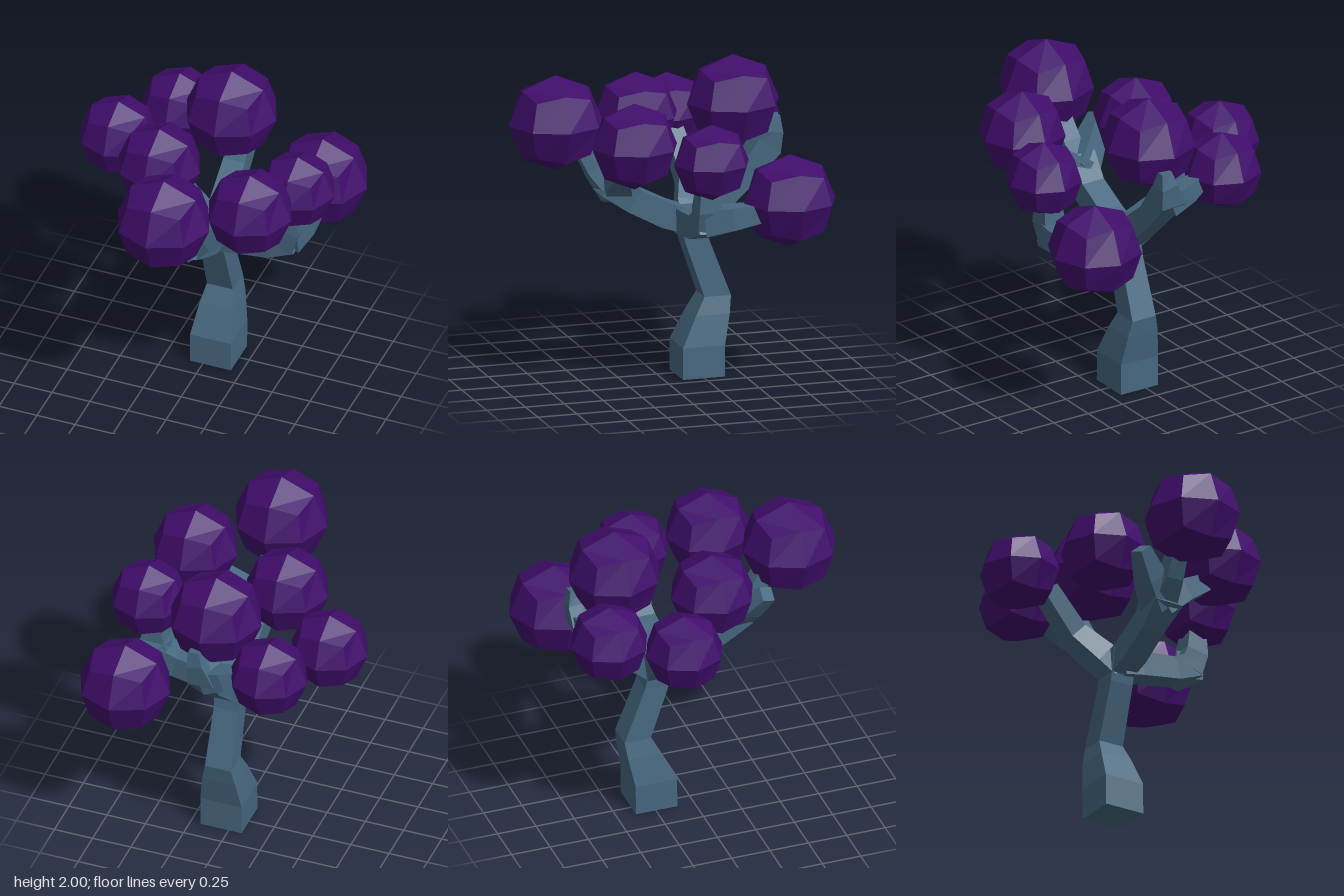
import * as THREE from 'three';

const bark = new THREE.MeshStandardMaterial({ color: 0x46677f });
bark.name = 'blueGreyBark';
const leaf = new THREE.MeshStandardMaterial({ color: 0x400d6b });
leaf.name = 'deepPurpleLeaf';

// Square-section limb through [x, y, z, halfWidth] points.
// hint is the direction one pair of sides faces; level keeps the rings horizontal.
function limb(name, points, hint, level = false) {
  const centres = points.map(p => new THREE.Vector3(p[0], p[1], p[2]));
  const rings = centres.map((c, i) => {
    const t = level
      ? new THREE.Vector3(0, 1, 0)
      : centres[Math.min(i + 1, centres.length - 1)].clone()
        .sub(centres[Math.max(i - 1, 0)]).normalize();
    const a = new THREE.Vector3(...hint);
    a.addScaledVector(t, -a.dot(t)).normalize();
    const b = t.clone().cross(a);
    return [[1, 1], [-1, 1], [-1, -1], [1, -1]].map(([u, v]) =>
      c.clone().addScaledVector(a, u * points[i][3]).addScaledVector(b, v * points[i][3]));
  });
  const tris = [];
  const quad = (p, q, r, s) => tris.push(p, q, r, p, r, s);
  for (let k = 0; k + 1 < rings.length; k++) {
    for (let i = 0; i < 4; i++) {
      const j = (i + 1) % 4;
      quad(rings[k][i], rings[k][j], rings[k + 1][j], rings[k + 1][i]);
    }
  }
  quad(...rings[0].slice().reverse());
  quad(...rings[rings.length - 1]);
  const geometry = new THREE.BufferGeometry().setFromPoints(tris);
  geometry.computeVertexNormals();
  const mesh = new THREE.Mesh(geometry, bark);
  mesh.name = name;
  return mesh;
}

// Cube with 2 x 2 faces per side, pushed out to a unit sphere, faceted.
function leafBallGeometry() {
  const geometry = new THREE.BoxGeometry(2, 2, 2, 2, 2, 2).toNonIndexed();
  const pos = geometry.attributes.position;
  const v = new THREE.Vector3();
  for (let i = 0; i < pos.count; i++) {
    v.fromBufferAttribute(pos, i).normalize();
    pos.setXYZ(i, v.x, v.y, v.z);
  }
  geometry.computeVertexNormals();
  return geometry;
}

export function createModel() {
  const tree = new THREE.Group();
  tree.name = 'tree';
  const X = [1, 0, 0], Y = [0, 1, 0], Z = [0, 0, 1];

  // Bent trunk, up to the hub where the limbs part
  tree.add(limb('trunk', [
    [0.05, 0, -0.245, 0.135], [0.05, 0.2, -0.247, 0.135], [0.05, 0.39, -0.312, 0.108],
    [0.05, 0.5, -0.35, 0.085], [0.05, 0.86, -0.22, 0.078], [0.05, 1.07, -0.18, 0.083],
  ], X, true));

  // Front limb and its two forks
  tree.add(limb('frontLimb', [
    [0.05, 0.97, -0.2, 0.075], [0.05, 1.03, -0.03, 0.08],
    [0.05, 1.14, 0.18, 0.078], [0.055, 1.27, 0.33, 0.1],
  ], X));
  tree.add(limb('frontForkLeft', [
    [0.05, 1.22, 0.28, 0.09], [0.2, 1.33, 0.31, 0.07], [0.4, 1.45, 0.3, 0.05],
  ], Z));
  tree.add(limb('frontForkRight', [
    [0.06, 1.22, 0.28, 0.09], [-0.06, 1.34, 0.36, 0.075], [-0.18, 1.48, 0.44, 0.045],
  ], Z));
  tree.add(limb('frontForkMiddle', [
    [0.05, 1.24, 0.3, 0.08], [0.05, 1.36, 0.42, 0.06], [0.05, 1.5, 0.5, 0.05],
  ], X));

  // Left limb, forking up and back
  tree.add(limb('leftLimb', [
    [0.05, 0.98, -0.17, 0.075], [0.17, 1.0, -0.16, 0.078],
    [0.42, 1.03, -0.15, 0.073], [0.56, 1.1, -0.17, 0.085],
  ], Z));
  tree.add(limb('leftForkUp', [
    [0.52, 1.06, -0.16, 0.08], [0.56, 1.18, -0.15, 0.075], [0.57, 1.32, -0.15, 0.06],
  ], Z));
  tree.add(limb('leftForkBack', [
    [0.54, 1.1, -0.14, 0.085], [0.59, 1.12, -0.3, 0.07], [0.6, 1.14, -0.48, 0.055],
  ], Y));

  // Right limb
  tree.add(limb('rightLimb', [
    [0.05, 0.95, -0.2, 0.075], [-0.05, 1.03, -0.22, 0.08],
    [-0.22, 1.17, -0.27, 0.068], [-0.44, 1.4, -0.24, 0.06],
  ], Z));

  // Back limb, with an upright tip and a short side fork
  tree.add(limb('backLimb', [
    [0.05, 0.95, -0.2, 0.075], [0.05, 1.06, -0.33, 0.078],
    [0.05, 1.25, -0.55, 0.07], [0.04, 1.42, -0.69, 0.085],
    [0.08, 1.52, -0.72, 0.055], [0.09, 1.61, -0.72, 0.035],
  ], X));
  tree.add(limb('backForkRight', [
    [0.04, 1.38, -0.68, 0.075], [-0.09, 1.43, -0.7, 0.06], [-0.2, 1.47, -0.68, 0.045],
  ], Z));

  // Leaf balls: x, y, z, radius
  const ball = leafBallGeometry();
  [
    [0.05, 1.66, 0.665, 0.3], [0.045, 1.705, -0.475, 0.295],
    [0.565, 1.19, -0.675, 0.293], [0.47, 1.585, 0.29, 0.272],
    [0.605, 1.48, -0.16, 0.24], [-0.215, 1.6, 0.067, 0.266],
    [-0.615, 1.487, -0.26, 0.248], [-0.37, 1.49, -0.66, 0.248],
  ].forEach(([x, y, z, r], i) => {
    const mesh = new THREE.Mesh(ball, leaf);
    mesh.name = `leafBall${i + 1}`;
    mesh.position.set(x, y, z);
    mesh.scale.setScalar(r);
    tree.add(mesh);
  });

  return tree;
}
